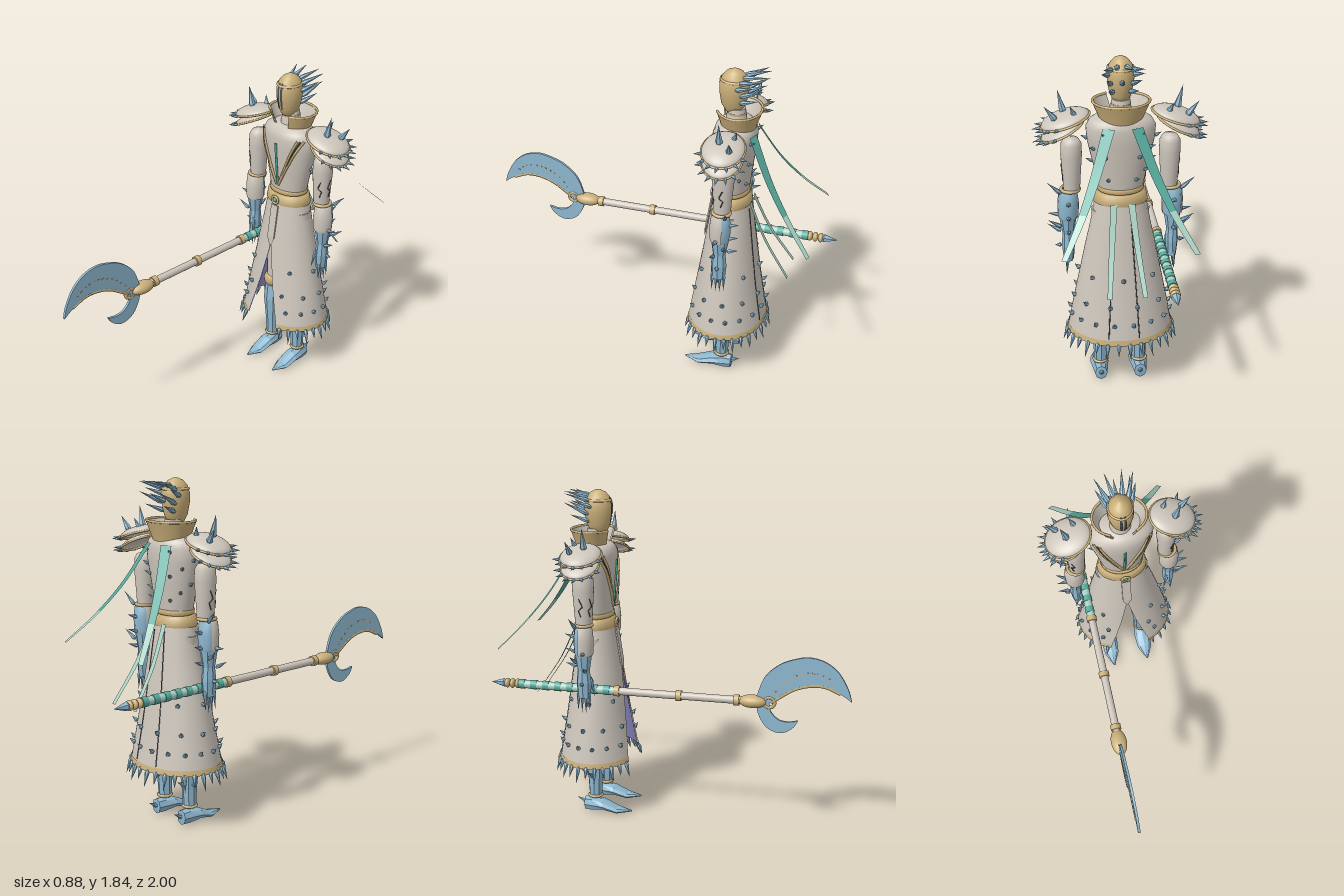
import * as THREE from 'three';
import { mergeVertices } from 'three/addons/utils/BufferGeometryUtils.js';

const V = (x, y, z) => new THREE.Vector3(x, y, z);
const mat = (name, color, side = THREE.FrontSide) =>
  Object.assign(new THREE.MeshStandardMaterial({ color, side }), { name });

// Elliptical loft; rows are [y, radiusX, radiusZ, gap], angle 0 faces the front
function loft(rows, a0 = 0, a1 = Math.PI * 2, n = 40) {
  const pos = [], idx = [];
  rows.forEach(([y, rx, rz, gap = 0], j) => {
    for (let i = 0; i <= n; i++) {
      const a = a0 + gap + (a1 - a0 - 2 * gap) * i / n;
      pos.push(rx * Math.sin(a), y, rz * Math.cos(a));
      if (j && i < n) {
        const p = (j - 1) * (n + 1) + i, q = p + n + 1;
        idx.push(p, p + 1, q + 1, p, q + 1, q);
      }
    }
  });
  let g = new THREE.BufferGeometry();
  g.setAttribute('position', new THREE.Float32BufferAttribute(pos, 3));
  g.setIndex(idx);
  g = mergeVertices(g, 1e-5);
  g.computeVertexNormals();
  return g;
}
function facet(g) {
  const f = g.index ? g.toNonIndexed() : g;
  f.computeVertexNormals();
  return f;
}
// Radii of a loft at height y, and a point on its surface
function radii(rows, y) {
  let k = rows.findIndex((r, i) => i && (y - rows[i - 1][0]) * (y - r[0]) <= 0);
  if (k < 1) k = 1;
  const [a, b] = [rows[k - 1], rows[k]], t = (y - a[0]) / (b[0] - a[0]);
  return [a[1] + (b[1] - a[1]) * t, a[2] + (b[2] - a[2]) * t];
}
function onLoft(rows, y, a, off = 0) {
  const [rx, rz] = radii(rows, y);
  return V((rx + off) * Math.sin(a), y, (rz + off) * Math.cos(a));
}
const grow = (rows, d) => rows.map(([y, x, z, g]) => [y, x + d, z + d, g]);
const tube = (pts, r, n = 24) => new THREE.TubeGeometry(new THREE.CatmullRomCurve3(pts), n, r, 6);

// Flat strip along a curve between t0 and t1
function strip(pts, dir, w0, w1, t0, t1) {
  const c = new THREE.CatmullRomCurve3(pts), pos = [], idx = [], n = 12;
  for (let i = 0; i <= n; i++) {
    const t = t0 + (t1 - t0) * i / n, p = c.getPoint(t), h = (w0 + (w1 - w0) * t) / 2;
    for (const k of [-h, h]) pos.push(p.x + dir.x * k, p.y + dir.y * k, p.z + dir.z * k);
    if (i) idx.push(2 * i - 2, 2 * i - 1, 2 * i + 1, 2 * i - 2, 2 * i + 1, 2 * i);
  }
  const g = new THREE.BufferGeometry();
  g.setAttribute('position', new THREE.Float32BufferAttribute(pos, 3));
  g.setIndex(idx);
  g.computeVertexNormals();
  return g;
}

export function createModel() {
  const cream = mat('cream cloth', 0xcdc6bc, THREE.DoubleSide), gold = mat('gold trim', 0xcbb07a, THREE.DoubleSide);
  const blue = mat('blue armour', 0x8fb8d0), teal = mat('teal ribbon', 0x58aa9c, THREE.DoubleSide);
  const pale = mat('pale ribbon', 0xaad2c4, THREE.DoubleSide), purple = mat('purple lining', 0x8480b8, THREE.DoubleSide);
  const dark = mat('dark inlay', 0x464c52);
  const root = new THREE.Group(), body = new THREE.Group();
  body.name = 'figure';
  body.position.z = -0.435;
  root.add(body);
  const add = (parent, name, geo, m, x = 0, y = 0, z = 0) => {
    const o = new THREE.Mesh(geo, m);
    o.name = name;
    o.position.set(x, y, z);
    parent.add(o);
    return o;
  };
  const thornGeo = facet(new THREE.LatheGeometry([[0, 0], [0.6, 0.02], [1, 0.2], [0, 1]].map(p => new THREE.Vector2(...p)), 6));
  const spike = (parent, from, to, r = 0.012) => {
    const d = to.clone().sub(from), o = add(parent, 'spike', thornGeo, blue, from.x, from.y, from.z);
    o.scale.set(r, d.length(), r);
    o.quaternion.setFromUnitVectors(V(0, 1, 0), d.normalize());
  };

  // Torso, chest trim and back thorns
  const torso = [[1.14, 0.11, 0.085], [1.3, 0.143, 0.1], [1.42, 0.17, 0.112], [1.49, 0.175, 0.114],
    [1.525, 0.155, 0.104], [1.55, 0.11, 0.085], [1.56, 0.02, 0.02]];
  add(body, 'torso', loft(torso), cream);
  const chest = (x, y, off) => onLoft(torso, y, Math.asin(x / radii(torso, y)[0]), off);
  for (const s of [1, -1]) {
    for (const [w, m, r, off] of [[0.15, gold, 0.007, 0.004], [0.124, gold, 0.007, 0.004], [0.137, dark, 0.004, 0.005]]) {
      const pts = [0, 0.25, 0.5, 0.75, 1].map(t => chest(s * (0.006 + (w - 0.006) * t), 1.2 + 0.3 * t, off));
      add(body, 'chest trim', tube(pts, r), m);
    }
    for (let i = 0; i < 7; i++) {
      const y = 1.22 + i * 0.042, a = Math.PI + s * (0.55 + 0.45 * (i % 3));
      spike(body, onLoft(torso, y, a, -0.003), onLoft(torso, y + 0.02, a, 0.032), 0.01);
    }
  }
  add(body, 'chest slit', tube([1.2, 1.3, 1.38, 1.46].map(y => chest(0, y, 0.003)), 0.007), teal);

  // Collar, neck, belt and buckle
  const collar = [[1.5, 0.1, 0.085, 0.35], [1.54, 0.11, 0.092, 0.4], [1.625, 0.145, 0.12, 0.48]];
  const collarMesh = add(body, 'collar', loft(collar), gold, 0, 0, -0.015);
  add(collarMesh, 'collar lining', loft(grow(collar, -0.008)), cream);
  add(collarMesh, 'collar rim', tube(Array.from({ length: 13 }, (_, i) =>
    onLoft(collar, 1.625, 0.48 + (Math.PI * 2 - 0.96) * i / 12, -0.004)), 0.007, 48), gold);
  add(body, 'neck', new THREE.CylinderGeometry(0.045, 0.06, 0.1, 20), cream, 0, 1.58, 0);
  add(body, 'neck ring', new THREE.CylinderGeometry(0.05, 0.05, 0.015, 20), gold, 0, 1.6, 0);
  add(body, 'waist band', loft([[1.14, 0.11, 0.085], [1.145, 0.118, 0.093], [1.165, 0.12, 0.095], [1.17, 0.112, 0.087]]), gold);
  add(body, 'belt', loft([[1.08, 0.12, 0.09], [1.083, 0.14, 0.107], [1.135, 0.13, 0.1], [1.138, 0.1, 0.075]]), gold);
  add(body, 'buckle', new THREE.TorusGeometry(0.022, 0.007, 8, 20), gold, 0, 1.108, 0.112);
  add(body, 'buckle stone', new THREE.SphereGeometry(0.014, 12, 8), teal, 0, 1.108, 0.108);

  // Split skirt with lining, hem and thorns
  const skirt = [[0.33, 0.278, 0.22, 0.44], [0.45, 0.257, 0.198, 0.34], [0.6, 0.228, 0.172, 0.21],
    [0.84, 0.18, 0.137, 0], [0.95, 0.156, 0.122], [1.09, 0.132, 0.102]];
  add(body, 'skirt', loft(skirt, 0, Math.PI * 2, 56), cream);
  add(body, 'skirt lining', loft(grow(skirt, -0.006), 0, Math.PI * 2, 56), purple);
  add(body, 'hem', loft([[0.325, 0.283, 0.225, 0.44], [0.355, 0.277, 0.219, 0.42]], 0, Math.PI * 2, 56), gold);
  const tab = add(body, 'front tab', new THREE.BoxGeometry(0.05, 0.2, 0.008), cream, 0, 0.975, 0.125);
  tab.rotation.x = -0.14;
  const tip = add(tab, 'tab tip', new THREE.CylinderGeometry(0.0354, 0.001, 0.06, 4, 1).rotateY(Math.PI / 4), cream, 0, -0.13, 0);
  tip.scale.z = 0.16;
  for (const s of [1, -1]) add(body, 'back seam',
    tube([0.36, 0.6, 0.84, 1.06].map(y => onLoft(skirt, y, Math.PI + s * 0.3, 0)), 0.003), dark);
  for (const [y, n, len, out, shift] of [[0.335, 26, 0.09, 0.03, 0], [0.43, 14, 0.045, 0.03, 0.12], [0.53, 10, 0.045, 0.03, 0], [0.68, 7, 0.045, 0.028, 0.2]])
    for (let i = 0; i < n; i++) {
      const a = 0.52 + shift + (Math.PI * 2 - 1.04 - 2 * shift) * i / (n - 1), k = i % 2 ? 1 : 0.75;
      const p = onLoft(skirt, y, a), q = onLoft(skirt, y, a, out * k);
      q.y -= y < 0.4 ? len * k : -len * 0.6;
      spike(body, p, q, 0.013);
    }

  // Head with mask inlay and swept-back thorns
  const skull = [[1.6, 0.02, 0.025], [1.61, 0.035, 0.042], [1.65, 0.054, 0.064], [1.71, 0.066, 0.075], [1.76, 0.068, 0.077],
    [1.8, 0.056, 0.064], [1.825, 0.036, 0.042], [1.838, 0.013, 0.015], [1.84, 0.001, 0.001]];
  const head = add(body, 'head', loft(skull), gold, 0, 0, 0.018);
  for (const s of [1, -1]) {
    add(head, 'mask slot', loft(grow(skull.slice(2, 6), 0.0025), s * 0.16 - 0.1, s * 0.16 + 0.1, 6), dark);
    for (const [x, y, z, tx, ty, tz] of [[0.045, 1.78, -0.03, 0.1, 1.825, -0.16], [0.06, 1.75, -0.02, 0.105, 1.79, -0.12],
      [0.05, 1.71, -0.04, 0.085, 1.775, -0.17], [0.04, 1.67, -0.04, 0.075, 1.71, -0.14], [0.02, 1.8, -0.04, 0.045, 1.83, -0.18]])
      spike(head, V(s * x, y, z), V(s * tx, ty, tz), 0.014);
  }
  add(head, 'circlet', loft([[1.778, 0.065, 0.073], [1.78, 0.068, 0.076], [1.787, 0.067, 0.075], [1.79, 0.06, 0.068]]), gold);
  spike(head, V(0, 1.72, -0.06), V(0, 1.77, -0.17), 0.014);

  for (const s of [1, -1]) {
    // Layered shoulder plates
    for (const [x, y, w, h, d, tilt] of [[0.275, 1.525, 0.125, 0.045, 0.108, 0.3], [0.29, 1.475, 0.115, 0.035, 0.1, 0.45]]) {
      const plate = new THREE.Group();
      plate.name = 'shoulder plate';
      plate.position.set(s * x, y, 0);
      plate.rotation.z = -s * tilt;
      body.add(plate);
      add(plate, 'shoulder dome', new THREE.SphereGeometry(1, 32, 10, 0, Math.PI * 2, 0, Math.PI / 2).scale(w, h, d), cream);
      add(plate, 'shoulder rim', new THREE.TorusGeometry(1, 0.06, 8, 40).rotateX(Math.PI / 2).scale(w, 0.1, d), gold);
      for (let i = 0; i < 7; i++) {
        const a = -1.2 + i * 0.4;
        spike(plate, V(s * w * 0.97 * Math.cos(a), 0, d * 0.97 * Math.sin(a)),
          V(s * (w + 0.045) * Math.cos(a), 0.01, (d + 0.04) * Math.sin(a)), 0.01);
      }
    }
    spike(body, V(s * 0.28, 1.55, 0.02), V(s * 0.31, 1.68, 0.02), 0.019);
    spike(body, V(s * 0.32, 1.54, -0.04), V(s * 0.38, 1.62, -0.05), 0.017);
    spike(body, V(s * 0.23, 1.56, -0.04), V(s * 0.255, 1.62, -0.06), 0.015);

    // Arm
    const arm = [[1.14, 0.042, 0.045], [1.22, 0.046, 0.05], [1.34, 0.054, 0.058], [1.4, 0.052, 0.056], [1.425, 0.038, 0.042], [1.435, 0.001, 0.001]];
    const upper = add(body, 'upper arm', loft(arm, 0, Math.PI * 2, 24), cream, s * 0.248);
    for (const a of [0.5, 1.6]) add(upper, 'arm crack', new THREE.TubeGeometry(new THREE.CatmullRomCurve3(
      [[1.2, 0], [1.235, 0.25], [1.255, -0.2], [1.3, 0.15]].map(([y, d]) => onLoft(arm, y, s * (a + d), 0.001)), false, 'catmullrom', 0), 16, 0.003, 5), dark);
    add(body, 'elbow ring', new THREE.TorusGeometry(0.046, 0.009, 8, 24).rotateX(Math.PI / 2), gold, s * 0.256, 1.15, 0);
    const fore = [[0.985, 0.048, 0.05], [1.0, 0.053, 0.055], [1.07, 0.055, 0.057], [1.135, 0.048, 0.05], [1.14, 0.03, 0.03]];
    add(body, 'forearm sleeve', loft(fore, -1.9, 1.9, 24), cream, s * 0.268);
    add(body, 'forearm guard', loft(grow(fore, -0.002), 0, Math.PI * 2, 8), blue, s * 0.268);
    add(body, 'gauntlet', facet(loft([[0.74, 0.001, 0.001], [0.745, 0.026, 0.036], [0.83, 0.034, 0.042], [0.9, 0.03, 0.034], [1.0, 0.046, 0.05]], 0, Math.PI * 2, 8)), blue, s * 0.27);
    for (let i = 0; i < 4; i++) {
      const z = -0.03 + i * 0.02;
      spike(body, V(s * 0.275, 0.78, z), V(s * 0.282, 0.65 + 0.015 * Math.abs(i - 1.5), z * 1.1), 0.011);
    }
    spike(body, V(s * 0.255, 0.86, 0.03), V(s * 0.235, 0.74, 0.05), 0.012);
    for (const [y, z, t] of [[1.14, -0.03, 1.2], [1.0, 0.01, 1.0], [0.95, -0.03, 0.99], [0.9, 0.02, 0.93], [0.83, 0, 0.82]])
      spike(body, V(s * 0.305, y, z), V(s * (y > 0.85 ? 0.375 : 0.34), t + 0.01, z * 1.5), 0.012);
    for (const y of [1.08, 1.0, 0.92]) spike(body, V(s * 0.268, y, -0.04), V(s * 0.275, y + 0.02, -0.1), 0.012);

    // Leg and foot
    add(body, 'thigh', new THREE.CylinderGeometry(0.06, 0.05, 0.55, 16), cream, s * 0.09, 0.76, 0);
    add(body, 'knee', new THREE.SphereGeometry(0.055, 16, 12), gold, s * 0.1, 0.5, 0.01);
    add(body, 'shin', facet(loft([[0.09, 0.036, 0.036], [0.2, 0.04, 0.042], [0.36, 0.056, 0.056], [0.48, 0.045, 0.045]], 0, Math.PI * 2, 8)), blue, s * 0.105);
    add(body, 'ankle ring', new THREE.TorusGeometry(0.036, 0.008, 8, 20).rotateX(Math.PI / 2), gold, s * 0.107, 0.1, 0);
    // cross-sections run from toe to heel, then turn to lie along z
    const foot = loft([[-0.215, 0.003, 0.004], [-0.13, 0.043, 0.018], [-0.05, 0.05, 0.03], [0.02, 0.04, 0.044], [0.06, 0.034, 0.042], [0.065, 0.001, 0.001]], 0, Math.PI * 2, 8);
    foot.rotateX(-Math.PI / 2);
    const fp = foot.attributes.position;
    for (let i = 0; i < fp.count; i++) {
      const rise = [0.004, 0.044][fp.getZ(i) < 0.1 ? 1 : 0];
      fp.setY(i, Math.max(0, fp.getY(i) + (rise === 0.004 ? 0.018 : rise)));
    }
    add(body, 'foot', facet(foot), blue, s * 0.108);
    spike(body, V(s * 0.107, 0.045, -0.05), V(s * 0.107, 0.075, -0.11), 0.014);
    for (const y of [0.22, 0.3]) {
      spike(body, V(s * 0.105, y, -0.035), V(s * 0.11, y + 0.03, -0.085), 0.012);
      spike(body, V(s * 0.14, y, 0), V(s * 0.18, y + 0.04, -0.02), 0.012);
    }

    // Trailing ribbons
    const long = [V(s * 0.07, 1.51, -0.105), V(s * 0.15, 1.3, -0.22), V(s * 0.23, 1.14, -0.34), V(s * 0.32, 1.0, -0.47)];
    const across = V(0.93, 0, -s * -0.37).normalize();
    add(body, 'long ribbon', strip(long, across, 0.062, 0.028, 0, 0.62), teal);
    add(body, 'long ribbon end', strip(long, across, 0.062, 0.028, 0.62, 1), pale);
    add(body, 'waist ribbon', strip([V(s * 0.045, 1.1, -0.107), V(s * 0.065, 0.9, -0.2), V(s * 0.09, 0.69, -0.34)], V(1, 0, 0), 0.035, 0.024, 0, 1), pale);
  }

  // Polearm along z
  const pole = new THREE.Group();
  pole.name = 'polearm';
  pole.position.set(-0.217, 0.777, 0);
  root.add(pole);
  const rod = (name, m, z0, z1, r0, r1 = r0) =>
    add(pole, name, new THREE.CylinderGeometry(r1, r0, z1 - z0, 20).rotateX(Math.PI / 2), m, 0, 0, (z0 + z1) / 2);
  rod('shaft', cream, -0.84, 0.44, 0.021);
  for (let i = 0; i < 16; i++) rod('grip wrap', i % 2 ? pale : teal, -0.83 + i * 0.035, -0.795 + i * 0.035, i % 2 ? 0.023 : 0.026);
  for (const z of [-0.265, 0.08, 0.395]) rod('shaft ring', gold, z - 0.015, z + 0.015, 0.029);
  for (const z of [-0.84, -0.87, -0.9]) add(pole, 'pommel ring', new THREE.SphereGeometry(0.027, 16, 10).scale(1, 1, 0.6), gold, 0, 0, z);
  spike(pole, V(0, 0, -0.9), V(0, 0, -0.995), 0.025);
  add(pole, 'socket', new THREE.SphereGeometry(1, 24, 16).scale(0.044, 0.035, 0.075), gold, 0, 0, 0.48);
  add(pole, 'socket ring', new THREE.TorusGeometry(0.028, 0.01, 8, 24).rotateY(Math.PI / 2), gold, 0, 0, 0.57);
  // Blade outlines are (z, y) offsets from the shaft
  const blade = (name, outer, inner) => {
    const p = a => a.map(([z, y]) => new THREE.Vector2(z, y));
    const shape = new THREE.Shape().moveTo(...outer[0]).splineThru(p(outer.slice(1))).splineThru(p(inner));
    const g = new THREE.ExtrudeGeometry(shape, { depth: 0.014, bevelEnabled: false, curveSegments: 24 });
    add(pole, name, g.rotateY(-Math.PI / 2).translate(0.007, 0, 0), blue);
  };
  blade('main blade', [[0.5, 0.02], [0.54, 0.135], [0.62, 0.213], [0.71, 0.25], [0.78, 0.26], [0.86, 0.24], [0.93, 0.185], [0.98, 0.1], [1.0, 0.035]],
    [[0.94, 0.075], [0.86, 0.105], [0.78, 0.105], [0.7, 0.08], [0.62, 0.03], [0.56, -0.01]]);
  blade('hook blade', [[0.505, 0], [0.51, -0.06], [0.55, -0.13], [0.6, -0.16], [0.65, -0.162], [0.7, -0.13], [0.725, -0.09]],
    [[0.67, -0.1], [0.62, -0.09], [0.58, -0.05], [0.57, 0]]);
  add(pole, 'blade trim', tube([V(0, 0.075, 0.94), V(0, 0.107, 0.86), V(0, 0.107, 0.78), V(0, 0.082, 0.7), V(0, 0.03, 0.62), V(0, 0, 0.58)], 0.01, 40), gold);
  for (let i = 0; i < 12; i++) {
    const z = 0.6 + i * 0.028;
    add(pole, 'blade stud', new THREE.BoxGeometry(0.018, 0.007, 0.014), gold, 0, 0.177 - 3.2 * (z - 0.79) ** 2, z);
  }
  return root;
}
